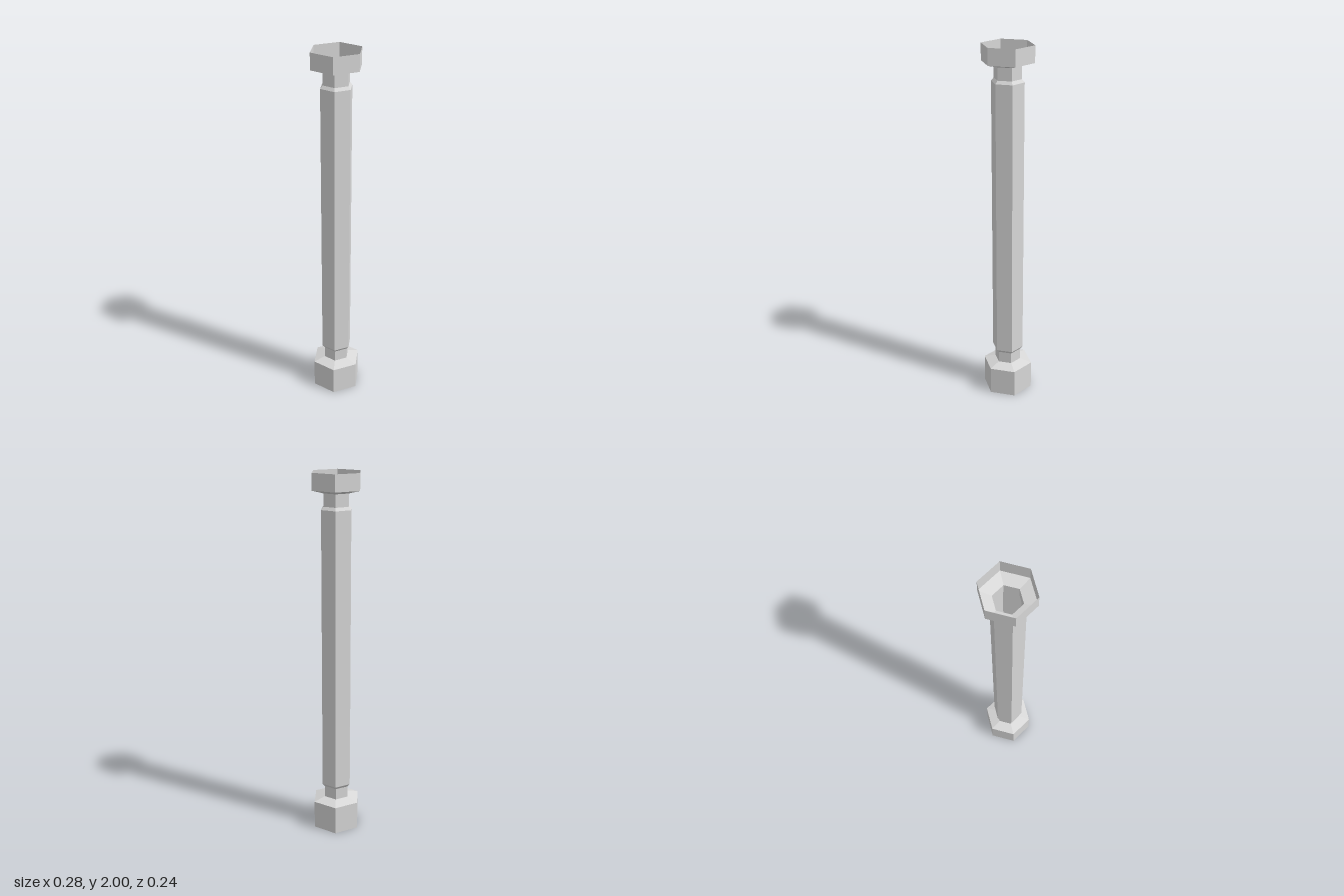
import * as THREE from 'three';

const grey = new THREE.MeshStandardMaterial({ color: 0xd8d8d8, side: THREE.DoubleSide, flatShading: true });
grey.name = 'pale grey';

// Open six-sided shell from [radius, height] points, corners on the x axis
function hexShell(name, profile) {
  const points = profile.map(([r, y]) => new THREE.Vector2(r, y));
  const geometry = new THREE.LatheGeometry(points, 6, Math.PI / 2).toNonIndexed();
  geometry.computeVertexNormals();
  const mesh = new THREE.Mesh(geometry, grey);
  mesh.name = name;
  return mesh;
}

export function createModel() {
  const END = 0.14, NECK = 0.074, SHAFT = 0.088;
  const group = new THREE.Group();
  group.name = 'hexagonalColumn';
  group.add(
    // Hollow foot with sloped shoulder
    hexShell('base', [[END, 0], [END, 0.16], [NECK, 0.18]]),
    hexShell('lowerNeck', [[NECK, 0.18], [NECK, 0.245]]),
    // Long tube with a chamfer at each end
    hexShell('shaft', [[NECK, 0.245], [SHAFT, 0.262], [SHAFT, 1.812], [NECK, 1.828]]),
    hexShell('upperNeck', [[NECK, 1.828], [NECK, 1.895]]),
    // Open cup at the top
    hexShell('capital', [[NECK, 1.895], [END, 1.912], [END, 2]])
  );
  return group;
}
